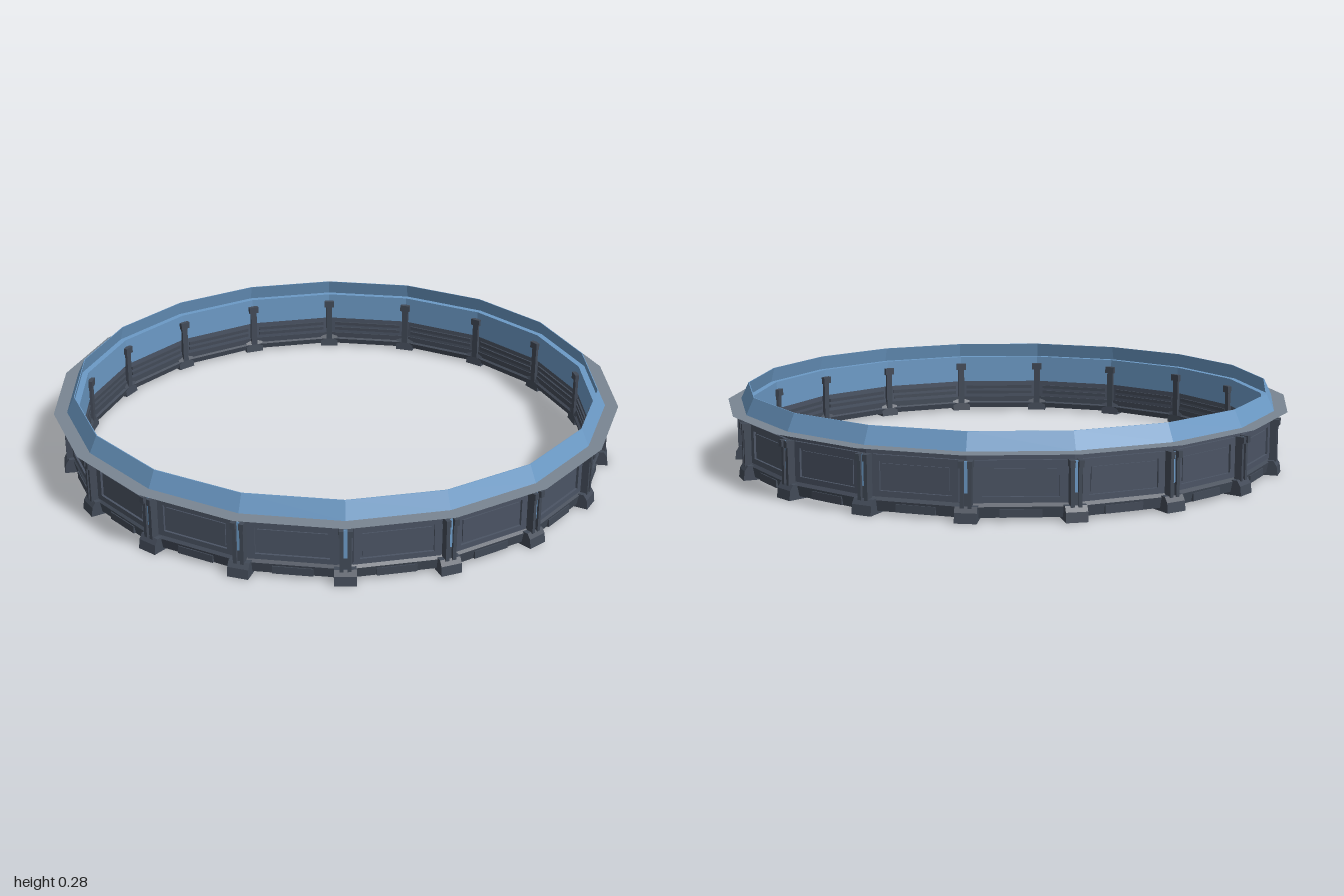
import * as THREE from 'three';

const SIDES = 18;
const STEP = (Math.PI * 2) / SIDES;
const APOTHEM = Math.cos(STEP / 2);

export function createModel() {
  const model = new THREE.Group();
  const blue = new THREE.MeshStandardMaterial({ name: 'sky blue', color: 0x6c9ac6 });
  const slate = new THREE.MeshStandardMaterial({ name: 'slate', color: 0x4b5464 });
  const dark = new THREE.MeshStandardMaterial({ name: 'dark slate', color: 0x424a57 });
  const grey = new THREE.MeshStandardMaterial({ name: 'rim grey', color: 0x7a8692, side: THREE.DoubleSide });

  // Faceted ring from a profile of [radius, height]; outer side runs upwards
  function ring(name, profile, material) {
    const points = profile.map(([r, y]) => new THREE.Vector2(r, y));
    const geometry = new THREE.LatheGeometry(points, SIDES, Math.PI / 2).toNonIndexed();
    geometry.computeVertexNormals();
    const mesh = new THREE.Mesh(geometry, material);
    mesh.name = name;
    model.add(mesh);
  }

  // Box given by its radial range, height range and width, centred at offset t
  function box(parent, name, r0, r1, y0, y1, width, material, t = 0) {
    const mesh = new THREE.Mesh(new THREE.BoxGeometry(r1 - r0, y1 - y0, width), material);
    mesh.position.set((r0 + r1) / 2, (y0 + y1) / 2, t);
    mesh.name = name;
    parent.add(mesh);
  }

  function spoke(name, angle) {
    const group = new THREE.Group();
    group.name = name;
    group.rotation.y = angle;
    model.add(group);
    return group;
  }

  // Main wall, with the blue lining on its upper inner face
  ring('wall', [[0.919, 0.03], [0.942, 0.03], [0.942, 0.215], [0.919, 0.215], [0.919, 0.03]], slate);
  ring('innerLining', [[0.94, 0.222], [0.916, 0.222], [0.916, 0.12], [0.919, 0.12]], blue);
  // Base beam with a stepped inner edge
  ring('baseBeam', [
    [0.912, 0.01], [0.945, 0.01], [0.952, 0.045], [0.942, 0.055],
    [0.915, 0.055], [0.915, 0.035], [0.907, 0.03], [0.912, 0.01],
  ], dark);

  // Flat outer rim and sloping crown
  ring('rim', [[1.0, 0.216], [0.94, 0.216]], grey);
  ring('crown', [[0.94, 0.218], [0.954, 0.218], [0.927, 0.275], [0.924, 0.275], [0.938, 0.222]], blue);

  // Foot outline, wider at the ground
  const footShape = new THREE.Shape([
    [0.9, 0], [0.978, 0], [0.974, 0.032], [0.962, 0.05], [0.915, 0.05], [0.904, 0.03],
  ].map(([x, y]) => new THREE.Vector2(x, y)));
  const footGeometry = new THREE.ExtrudeGeometry(footShape, { depth: 0.07, bevelEnabled: false });
  footGeometry.translate(0, 0, -0.035);

  for (let i = 0; i < SIDES; i++) {
    // Post at each corner
    const post = spoke('post', i * STEP);
    const foot = new THREE.Mesh(footGeometry, dark);
    foot.name = 'foot';
    post.add(foot);
    box(post, 'postCore', 0.93, 0.958, 0.045, 0.19, 0.036, dark);
    for (const s of [-1, 1]) {
      box(post, 'postRail', 0.95, 0.968, 0.045, 0.18, 0.012, dark, s * 0.012);
      box(post, 'postCap', 0.945, 0.975, 0.17, 0.192, 0.016, dark, s * 0.014);
    }
    box(post, 'lightStrip', 0.957, 0.961, 0.09, 0.19, 0.011, blue);
    box(post, 'innerPost', 0.904, 0.925, 0.03, 0.18, 0.024, dark);
    box(post, 'innerPostCap', 0.899, 0.925, 0.17, 0.195, 0.038, dark);

    // Raised frame and inset panel on each face
    const face = spoke('wallPanel', (i + 0.5) * STEP);
    const r = 0.942 * APOTHEM;
    for (const [y0, y1] of [[0.058, 0.076], [0.17, 0.19]]) {
      box(face, 'frameRail', r - 0.002, r + 0.008, y0, y1, 0.28, slate);
    }
    for (const s of [-1, 1]) {
      box(face, 'frameStile', r - 0.002, r + 0.008, 0.076, 0.17, 0.022, slate, s * 0.129);
    }
    box(face, 'insetPanel', r - 0.002, r + 0.004, 0.084, 0.162, 0.22, slate);
    box(face, 'skirtVent', r - 0.01, r + 0.012, 0.012, 0.038, 0.13, dark);
    // Low rails on the inner side
    const q = 0.919 * APOTHEM;
    for (const y of [0.068, 0.09]) {
      box(face, 'innerRail', q - 0.006, q + 0.004, y, y + 0.012, 0.27, dark);
    }
  }
  return model;
}
